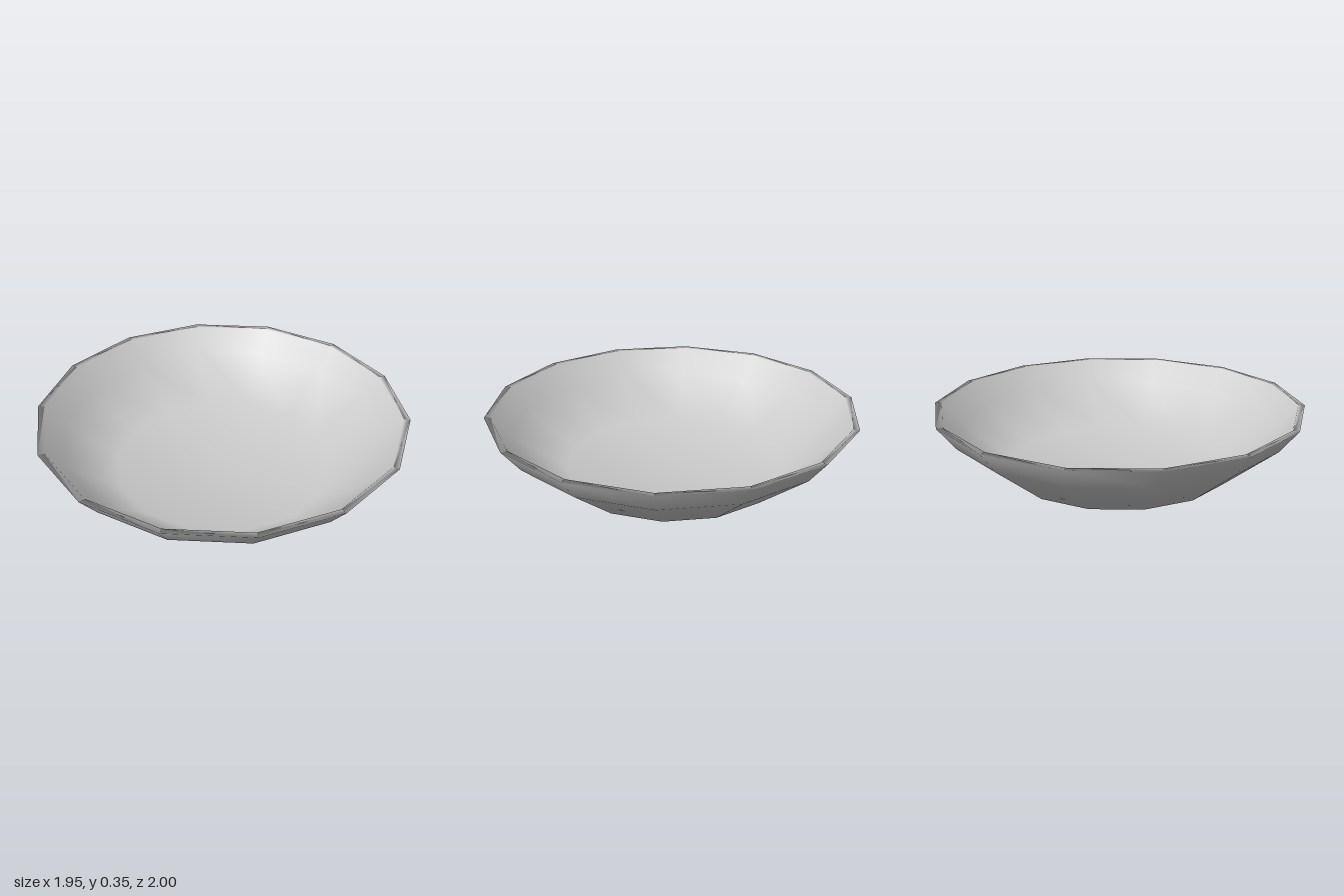
import * as THREE from 'three';

export function createModel() {
  const group = new THREE.Group();
  group.name = 'dish';
  const material = new THREE.MeshStandardMaterial({ color: 0xcccccc });

  // Closed profile: underside, outer wall, thin rim, inner wall, floor
  const profile = [
    [0, 0], [0.61, 0], [0.9, 0.23], [1, 0.355],
    [0.965, 0.355], [0.87, 0.24], [0.59, 0.03], [0, 0.03],
  ].map(([r, y]) => new THREE.Vector2(r, y));

  // Fourteen sides, with corners on the front and back centre line
  const bowl = new THREE.Mesh(new THREE.LatheGeometry(profile, 14), material);
  bowl.name = 'bowl';
  group.add(bowl);
  return group;
}
